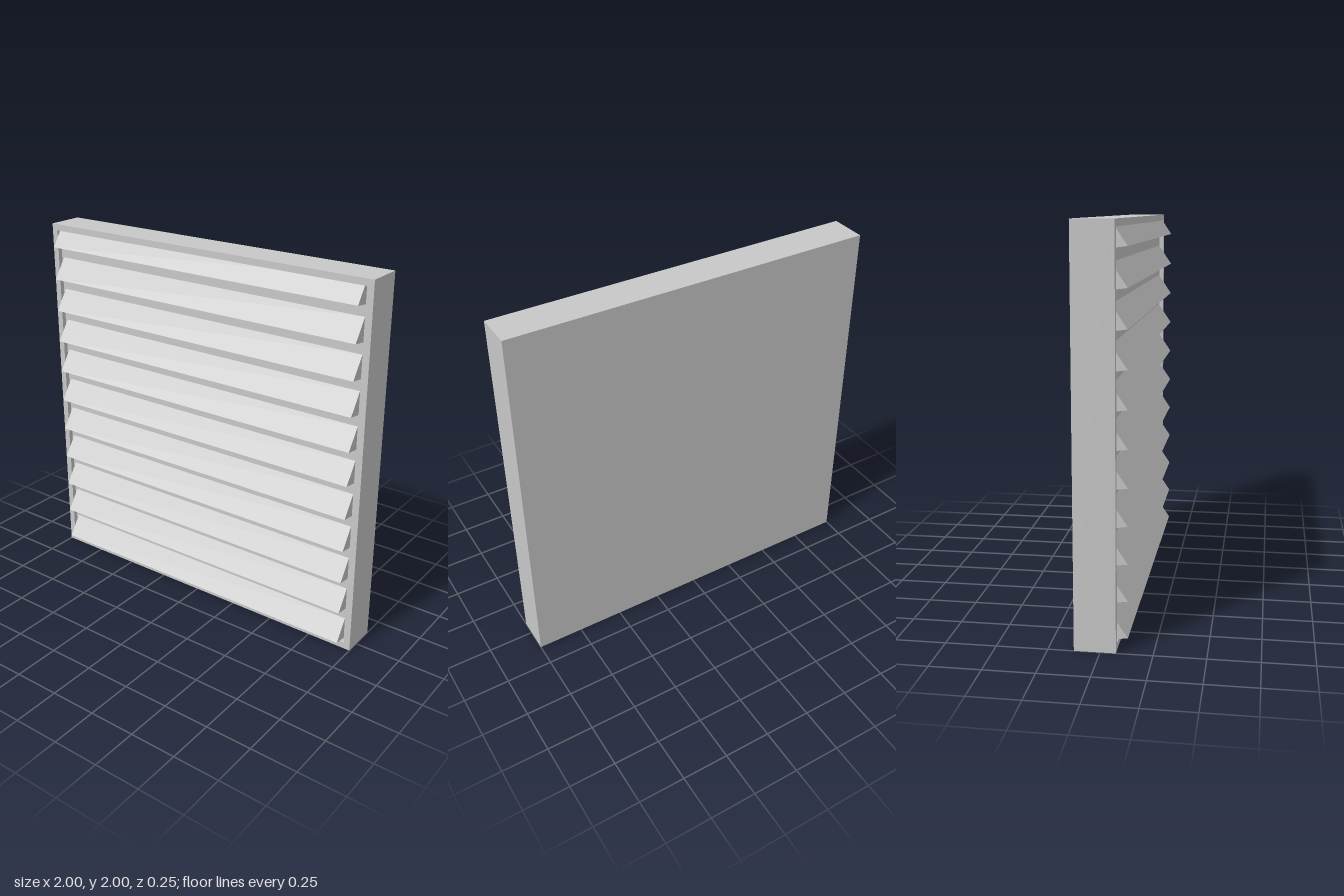
import * as THREE from 'three';

export function createModel() {
  const model = new THREE.Group();
  model.name = 'louvreVent';
  const metal = new THREE.MeshStandardMaterial({ color: 0xc8c8c8 });
  metal.name = 'light grey metal';

  const add = (name, geometry, x, y, z) => {
    const mesh = new THREE.Mesh(geometry, metal);
    mesh.name = name;
    mesh.position.set(x, y, z);
    model.add(mesh);
  };

  // Rectangle path used for the frame and its opening
  const rectangle = (path, half, low, high) => {
    path.moveTo(-half, low);
    path.lineTo(half, low);
    path.lineTo(half, high);
    path.lineTo(-half, high);
    path.closePath();
    return path;
  };

  // Solid back of the casing
  const back = -0.125, floor = 0.05, front = 0.075, rim = 0.035;
  add('casing', new THREE.BoxGeometry(2, 2, floor - back), 0, 1, (floor + back) / 2);

  // Raised rim around the shallow recess
  const frame = rectangle(new THREE.Shape(), 1, 0, 2);
  frame.holes.push(rectangle(new THREE.Path(), 1 - rim, rim, 2 - rim));
  add('rim', new THREE.ExtrudeGeometry(frame, { depth: front - floor, bevelEnabled: false }), 0, 0, floor);

  // Wedge-shaped slat: section drawn in (z, y), then turned to run along x
  const section = new THREE.Shape([
    new THREE.Vector2(0, 0),
    new THREE.Vector2(0, 0.122),
    new THREE.Vector2(-0.075, 0.01),
  ]);
  const width = 1.9;
  const slat = new THREE.ExtrudeGeometry(section, { depth: width, bevelEnabled: false });
  slat.translate(0, 0, -width / 2);
  slat.rotateY(Math.PI / 2);

  // Eleven evenly spaced slats
  for (let i = 0; i < 11; i++) {
    add('slat' + (i + 1), slat, 0, 0.046 + i * 0.1826, floor);
  }
  return model;
}
